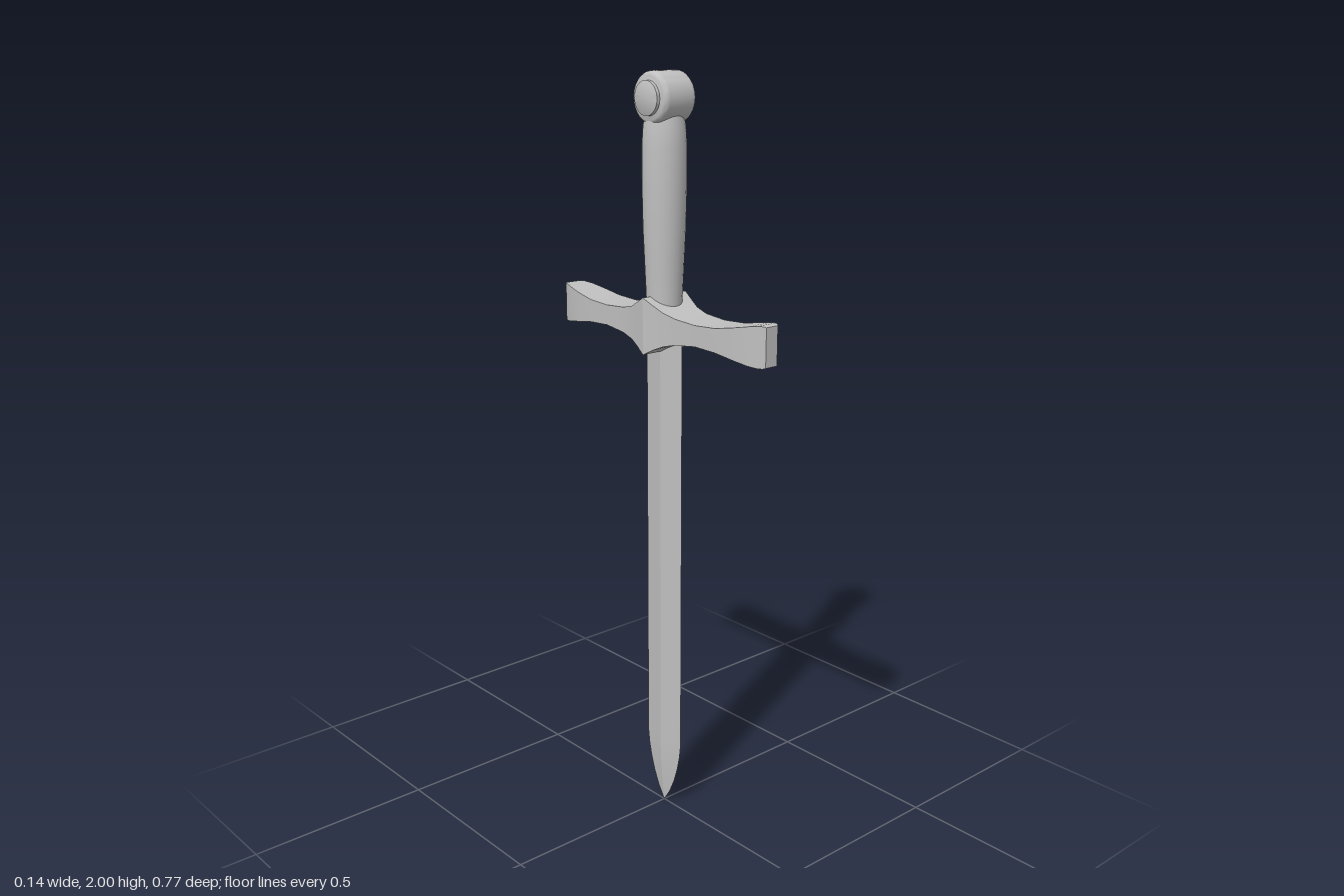
import * as THREE from 'three';
import { toCreasedNormals } from 'three/addons/utils/BufferGeometryUtils.js';

// Skin a list of rings (arrays of [x, y, z], counter-clockwise along the path) and cap both ends
function loft(rings, crease) {
  const n = rings[0].length, last = (rings.length - 1) * n, index = [];
  for (let i = 0; i < rings.length - 1; i++) {
    for (let j = 0; j < n; j++) {
      const a = i * n + j, b = i * n + (j + 1) % n;
      index.push(a, b, b + n, a, b + n, a + n);
    }
  }
  for (let j = 1; j < n - 1; j++) {
    index.push(0, j + 1, j, last, last + j, last + j + 1);
  }
  const g = new THREE.BufferGeometry();
  g.setAttribute('position', new THREE.Float32BufferAttribute(rings.flat(2), 3));
  g.setIndex(index);
  return toCreasedNormals(g, crease);
}

const lathe = (pts, sides, crease) => toCreasedNormals(
  new THREE.LatheGeometry(pts.map(p => new THREE.Vector2(...p)), sides), crease);

export function createModel() {
  const group = new THREE.Group();
  const steel = new THREE.MeshStandardMaterial({ color: 0xc0c0c0 });
  steel.name = 'steel grey';
  const add = (name, geometry) => {
    const mesh = new THREE.Mesh(geometry, steel);
    mesh.name = name;
    group.add(mesh);
    return mesh;
  };

  // Blade: diamond section, pointed tip; [y, half width, half thickness]
  const blade = [
    [0.005, 0.0005, 0.0005], [0.04, 0.023, 0.004], [0.08, 0.041, 0.008], [0.12, 0.054, 0.011],
    [0.16, 0.063, 0.013], [0.2, 0.068, 0.014], [1.36, 0.068, 0.014],
  ];
  add('blade', loft(blade.map(([y, w, t]) => [[0, y, w], [t, y, 0], [0, y, -w], [-t, y, 0]]), 0.15));

  // Crossguard: flared arms, pointed in the middle; [z, half thickness, top, bottom]
  const arm = [
    [0, 0.072, 1.452, 1.306], [0.03, 0.065, 1.436, 1.322], [0.06, 0.058, 1.421, 1.335],
    [0.1, 0.053, 1.411, 1.345], [0.17, 0.05, 1.406, 1.353], [0.24, 0.049, 1.41, 1.35],
    [0.3, 0.045, 1.421, 1.341], [0.34, 0.038, 1.429, 1.334], [0.365, 0.03, 1.433, 1.331],
    [0.378, 0.024, 1.433, 1.331], [0.384, 0.019, 1.431, 1.333],
  ];
  const stations = [
    ...arm.slice(1).reverse().map(([z, ...rest]) => [-z, ...rest]),
    ...arm,
  ];
  add('crossguard', loft(stations.map(([z, w, t, b]) =>
    [[w, b, z], [w, t, z], [-w, t, z], [-w, b, z]]), 0.4));

  // Grip: slightly swelling handle
  add('grip', lathe([
    [0.045, 1.38], [0.046, 1.44], [0.05, 1.53], [0.054, 1.62], [0.056, 1.72],
    [0.056, 1.82], [0.053, 1.87], [0.047, 1.9], [0, 1.91],
  ], 24, 0.6));

  // Pommel: rounded disc lying across the grip, with a raised round boss on each face
  const half = [[0.064, 0.036], [0.063, 0.042], [0.059, 0.048], [0.053, 0.051], [0.042, 0.051],
    [0.042, 0.06], [0.039, 0.062], [0, 0.062]];
  const pommel = add('pommel', lathe([
    ...half.map(([r, h]) => [r, -h]).reverse(),
    ...half,
  ], 36, 0.7));
  pommel.rotation.z = Math.PI / 2;
  pommel.position.y = 1.936;

  return group;
}
